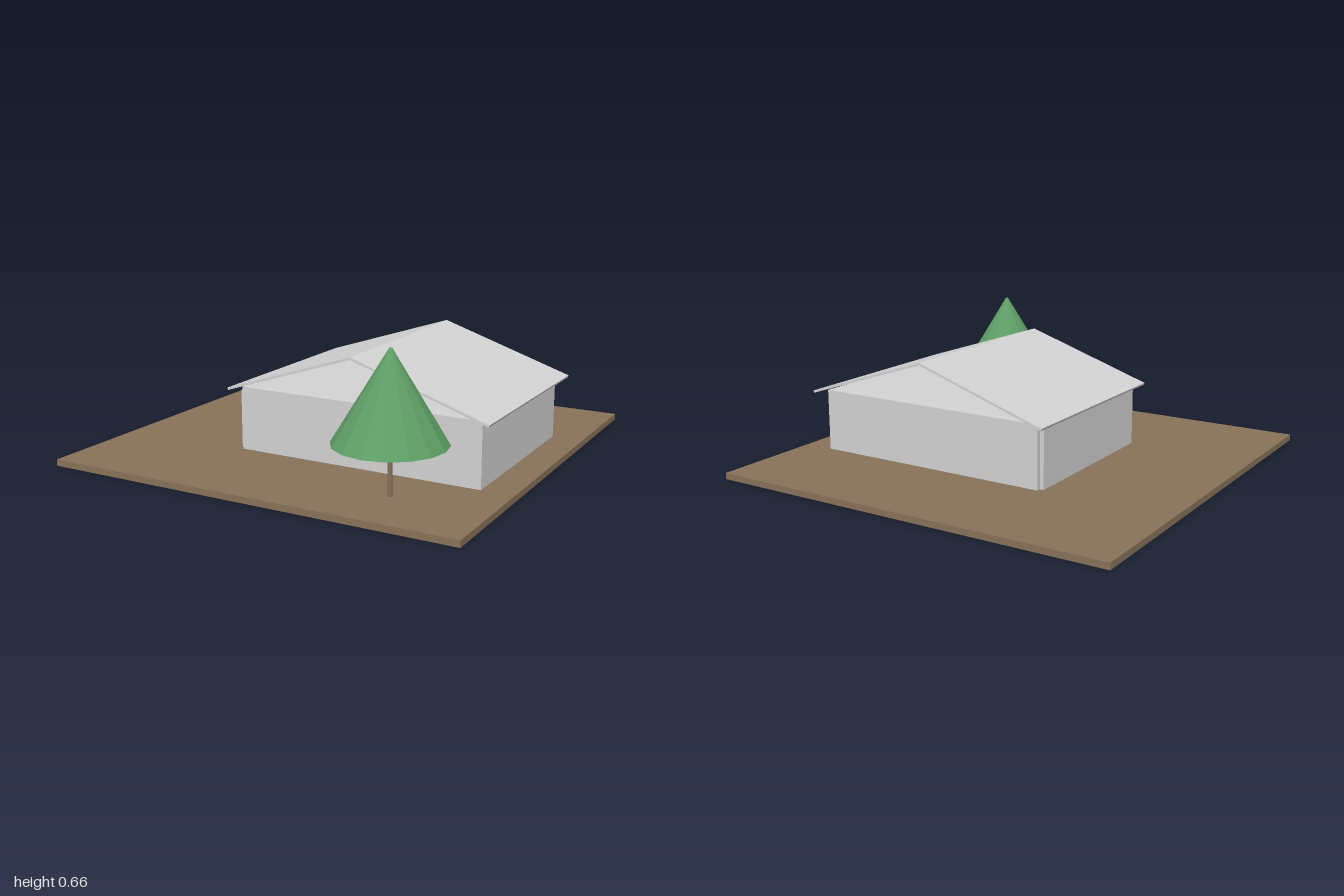
import * as THREE from 'three';

const material = (name, color) => {
  const m = new THREE.MeshStandardMaterial({ color, flatShading: true });
  m.name = name;
  return m;
};

export function createModel() {
  const earth = material('earth brown', 0x88725a);
  const grey = material('light grey', 0xd3d3d3);
  const green = material('leaf green', 0x5f9f66);
  const model = new THREE.Group();
  model.name = 'houseOnPlot';

  const add = (parent, name, geometry, mat, x = 0, y = 0, z = 0) => {
    const mesh = new THREE.Mesh(geometry, mat);
    mesh.name = name;
    mesh.position.set(x, y, z);
    parent.add(mesh);
    return mesh;
  };

  // Plot of ground
  add(model, 'ground', new THREE.BoxGeometry(2, 0.03, 2), earth, 0, 0.015, 0);

  // House, with its long walls facing front and back
  const house = new THREE.Group();
  house.name = 'house';
  house.position.set(0.25, 0.03, 0);
  model.add(house);
  for (const [name, side] of [['frontWall', 1], ['backWall', -1]]) {
    add(house, name, new THREE.BoxGeometry(1.2, 0.3, 0.02), grey, 0, 0.15, side * 0.44);
  }
  for (const [name, x] of [['leftWall', 0.59], ['rightWall', -0.61]]) {
    add(house, name, new THREE.BoxGeometry(0.02, 0.28, 0.86), grey, x, 0.14, 0);
  }

  // Ceiling slab under the open gables
  add(house, 'ceiling', new THREE.BoxGeometry(1.2, 0.02, 0.86), grey, 0, 0.29, 0);

  // Thin gable roof, extruded from its front outline
  const outline = new THREE.Shape([
    [-0.65, 0.301], [-0.646, 0.29], [0, 0.502], [0.646, 0.29], [0.65, 0.301], [0, 0.514],
  ].map(([x, y]) => new THREE.Vector2(x, y)));
  const roof = new THREE.ExtrudeGeometry(outline, { depth: 1, bevelEnabled: false });
  add(house, 'roof', roof, grey, 0, 0, -0.5);

  // Tree in front of the house
  const tree = new THREE.Group();
  tree.name = 'tree';
  tree.position.set(0.55, 0.03, 0.7);
  model.add(tree);
  add(tree, 'trunk', new THREE.CylinderGeometry(0.009, 0.012, 0.24, 8), earth, 0, 0.12, 0);
  add(tree, 'foliage', new THREE.CylinderGeometry(0.006, 0.248, 0.4, 16), green, 0, 0.425, 0);

  return model;
}
